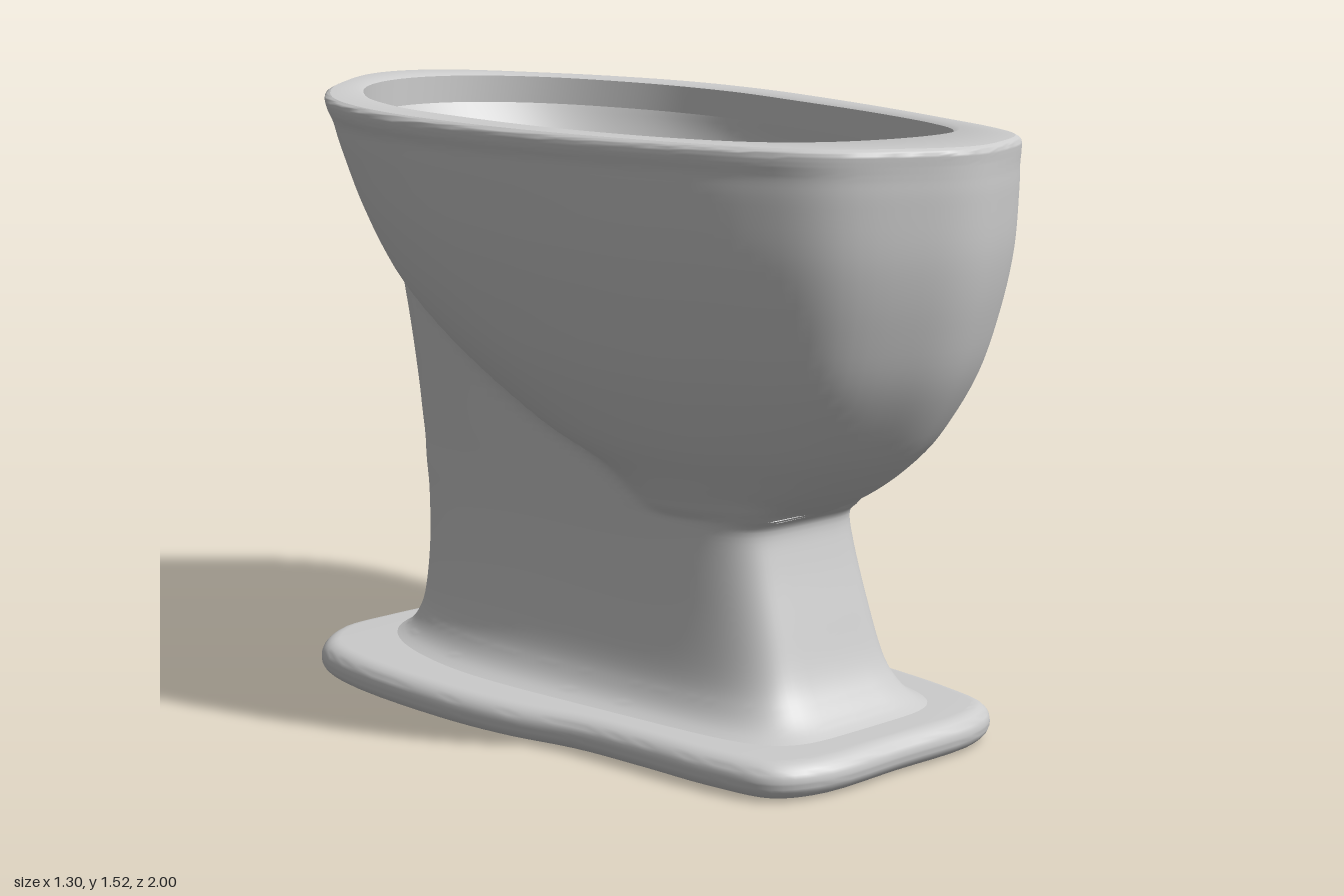
import * as THREE from 'three';
import { toCreasedNormals } from 'three/addons/utils/BufferGeometryUtils.js';

const SEGMENTS = 128;
const { smoothstep } = THREE.MathUtils;
const material = new THREE.MeshStandardMaterial({ color: 0xcccccc, side: THREE.DoubleSide });

// Egg outline: half-width every 15 degrees from the front tip to the back tip,
// continued past both tips so that they come out rounded
function eggCurve(widths) {
  const max = Math.max(...widths);
  const all = [-widths[1], ...widths, -widths[widths.length - 2]];
  return new THREE.SplineCurve(all.map((x, i) => new THREE.Vector2(i, x / max)));
}
const outerEgg = eggCurve([0, 0.135, 0.315, 0.42, 0.5, 0.575, 0.628, 0.647, 0.6, 0.47, 0.3, 0.15, 0]);
const innerEgg = eggCurve([0, 0.19, 0.32, 0.4, 0.46, 0.505, 0.53, 0.54, 0.495, 0.405, 0.29, 0.15, 0]);

function eggWidth(egg, z, front, back, width) {
  const s = (2 * z - front - back) / (front - back);
  if (width <= 0 || Math.abs(s) >= 1) return 0;
  return width * egg.getPoint((1 + 12 * Math.acos(s) / Math.PI) / 14).y;
}

// Blocky pedestal section: flat front, rounder back, narrowing to the front
function pedestalWidth(z, front, back, width) {
  const s = (2 * z - front - back) / (front - back);
  if (width <= 0 || Math.abs(s) >= 1) return 0;
  const p = s > 0 ? 5 : 3;
  return width * (1 - 0.2 * smoothstep(z, -0.35, 0.6)) * Math.pow(1 - Math.pow(Math.abs(s), p), 1 / p);
}

function smoothMax(a, b, blend) {
  const k = Math.min(blend, a, b);
  if (k <= 0) return Math.max(a, b);
  const h = Math.max(k - Math.abs(a - b), 0) / k;
  return Math.max(a, b) + h * h * k * 0.25;
}

// Smoothly subdivide a table of section rows
function refine(rows, steps) {
  const columns = rows[0].map((_, c) =>
    new THREE.SplineCurve(rows.map((r, i) => new THREE.Vector2(i, r[c]))));
  const count = (rows.length - 1) * steps;
  return Array.from({ length: count + 1 }, (_, i) => columns.map((c) => c.getPoint(i / count).y));
}

// Loft rows of [y, eggFront, eggBack, eggWidth, pedFront, pedBack, pedWidth]
function loft(name, rows, crease, eggOf) {
  const positions = [];
  const index = [];
  rows.forEach(([y, ef, eb, ew, pf = ef, pb = eb, pw = 0], r) => {
    const front = Math.max(ef, pf);
    const back = Math.min(eb, pb);
    const blend = 0.05 + 0.15 * smoothstep(y, 0.7, 1.15);
    for (let i = 0; i < SEGMENTS; i++) {
      const a = (i / SEGMENTS) * Math.PI * 2;
      const z = (front + back) / 2 + ((front - back) / 2) * Math.cos(a);
      const tip = i % (SEGMENTS / 2) === 0;
      const x = tip ? 0 : Math.sign(Math.sin(a)) *
        smoothMax(eggWidth(eggOf(r), z, ef, eb, ew), pedestalWidth(z, pf, pb, pw), blend);
      // the upper part leans up toward the back
      const lean = (-0.045 * z + 0.015 * z * z) * smoothstep(y, 0.9, 1.42);
      positions.push(x, y + lean, z);
      if (r === rows.length - 1) continue;
      const p = r * SEGMENTS + i;
      const q = r * SEGMENTS + (i + 1) % SEGMENTS;
      index.push(p, q, q + SEGMENTS, p, q + SEGMENTS, p + SEGMENTS);
    }
  });
  const geometry = new THREE.BufferGeometry();
  geometry.setAttribute('position', new THREE.Float32BufferAttribute(positions, 3));
  geometry.setIndex(index);
  const mesh = new THREE.Mesh(toCreasedNormals(geometry, crease), material);
  mesh.name = name;
  return mesh;
}

// Foot plate with fully rounded edges, waisted sides and a wider back
function createFootPlate() {
  const half = [[0.26, 0.825], [0.37, 0.765], [0.415, 0.6], [0.435, 0.4], [0.46, 0.2], [0.515, 0],
    [0.545, -0.22], [0.545, -0.58], [0.5, -0.74], [0.37, -0.85], [0.2, -0.87]];
  const points = [[0, 0.83], ...half, [0, -0.87], ...half.map(([x, z]) => [-x, z]).reverse()]
    .map(([x, z]) => new THREE.Vector3(x, -z, 0));
  const outline = new THREE.CatmullRomCurve3(points, true).getPoints(110).slice(0, -1);
  const geometry = new THREE.ExtrudeGeometry(
    new THREE.Shape(outline.map((p) => new THREE.Vector2(p.x, p.y))),
    { depth: 0.005, bevelThickness: 0.04, bevelSize: 0.045, bevelOffset: -0.045, bevelSegments: 7 });
  geometry.rotateX(-Math.PI / 2).translate(0, 0.04, 0);
  const mesh = new THREE.Mesh(toCreasedNormals(geometry, 0.8), material);
  mesh.name = 'footPlate';
  return mesh;
}

export function createModel() {
  const group = new THREE.Group();
  group.name = 'toiletBowl';
  group.add(createFootPlate());

  // Pedestal flowing into the outside of the bowl
  group.add(loft('pedestalAndBowl', refine([
    [0.075, 0.3, 0.1, 0, 0.74, -0.81, 0.44],
    [0.10, 0.3, 0.1, 0, 0.69, -0.775, 0.38],
    [0.14, 0.3, 0.1, 0, 0.65, -0.752, 0.345],
    [0.20, 0.3, 0.1, 0, 0.615, -0.74, 0.322],
    [0.32, 0.3, 0.1, 0, 0.575, -0.735, 0.302],
    [0.45, 0.35, 0.1, 0, 0.535, -0.743, 0.29],
    [0.53, 0.49, 0.15, 0.15, 0.52, -0.755, 0.287],
    [0.565, 0.565, 0.12, 0.24, 0.552, -0.76, 0.287],
    [0.60, 0.635, 0.06, 0.275, 0.56, -0.763, 0.287],
    [0.66, 0.725, -0.05, 0.32, 0.5, -0.77, 0.287],
    [0.75, 0.82, -0.27, 0.4, 0.42, -0.78, 0.287],
    [0.90, 0.915, -0.53, 0.495, 0.3, -0.805, 0.287],
    [1.05, 0.965, -0.735, 0.56, 0.2, -0.845, 0.28],
    [1.20, 0.993, -0.86, 0.605, 0.1, -0.89, 0.25],
    [1.34, 1, -0.945, 0.63, 0, -0.947, 0.17],
    [1.40, 1, -0.975, 0.637, 0, -0.97, 0.12],
    [1.43, 1, -0.99, 0.647, 0, -0.98, 0.08],
    [1.455, 1, -1, 0.647, 0, -0.98, 0.05],
    [1.465, 0.985, -0.985, 0.635, 0, -0.97, 0.03],
  ], 5), 1.2, () => outerEgg));

  // Flat rim with a short inner lip
  group.add(loft('rim', [
    [1.465, 0.985, -0.985, 0.635],
    [1.467, 0.785, -0.895, 0.553],
    [1.46, 0.77, -0.88, 0.54],
    [1.39, 0.77, -0.88, 0.54],
    [1.39, 0.8, -0.9, 0.56],
  ], 0.6, (row) => (row === 0 ? outerEgg : innerEgg)));

  // Hollow inside, down to the drain opening
  group.add(loft('basin', refine([
    [1.39, 0.8, -0.9, 0.56],
    [1.30, 0.8, -0.83, 0.555],
    [1.10, 0.74, -0.68, 0.5],
    [0.90, 0.59, -0.55, 0.385],
    [0.78, 0.4, -0.46, 0.26],
    [0.70, 0.16, -0.4, 0.185],
  ], 6), 1, () => innerEgg));

  // Drain well with a flat floor
  group.add(loft('drainWell', [
    [0.70, 0.16, -0.4, 0.185],
    [0.66, 0.155, -0.385, 0.172],
    [0.52, 0.15, -0.375, 0.165],
    [0.52, -0.11, -0.13, 0.001],
  ], 0.6, () => innerEgg));
  return group;
}
